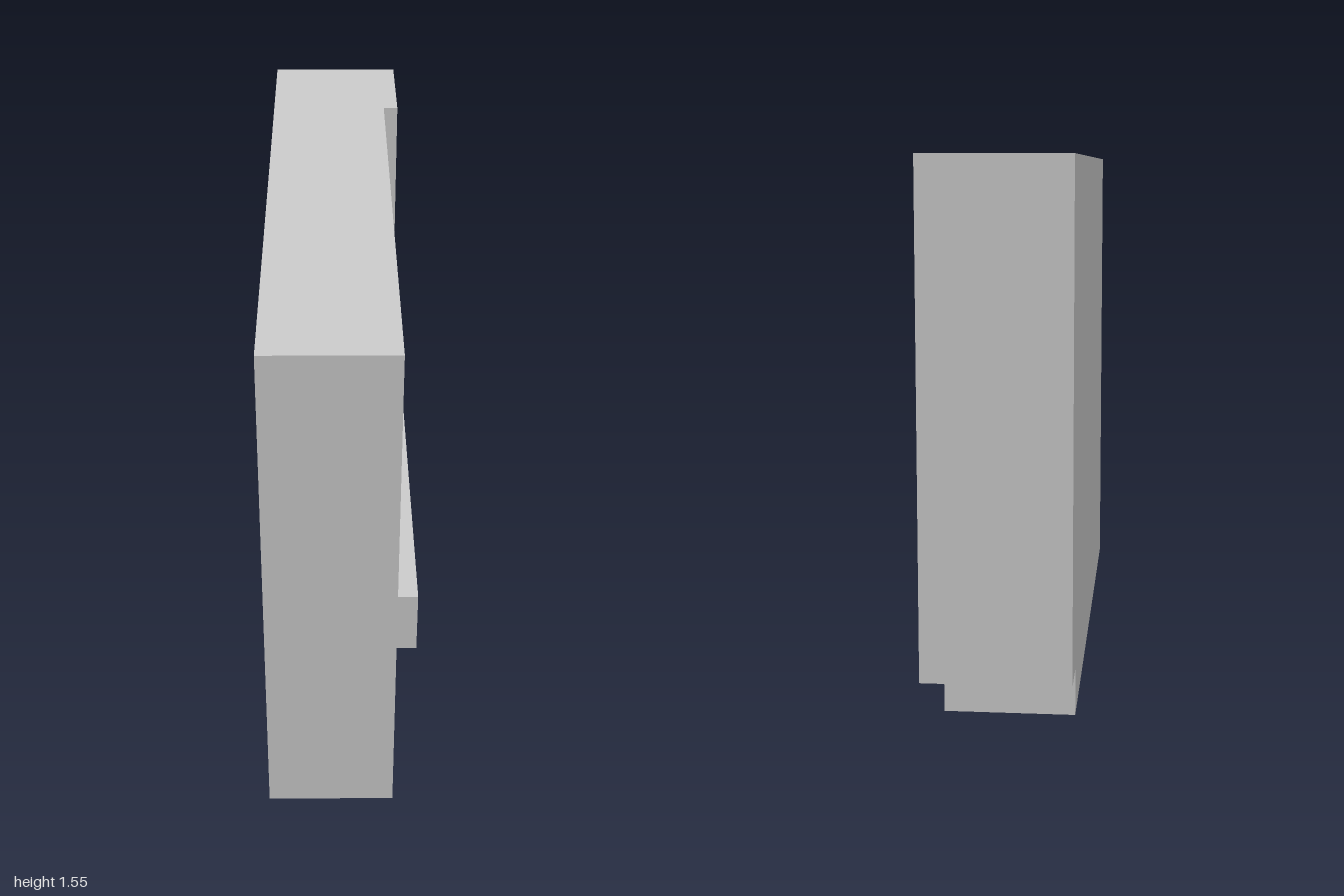
import * as THREE from 'three';

const material = new THREE.MeshStandardMaterial({ color: 0xcccccc, flatShading: true });

// Box given by its lower and upper corners
function block(name, [x0, y0, z0], [x1, y1, z1]) {
  const geometry = new THREE.BoxGeometry(x1 - x0, y1 - y0, z1 - z0);
  geometry.translate((x0 + x1) / 2, (y0 + y1) / 2, (z0 + z1) / 2);
  const mesh = new THREE.Mesh(geometry, material);
  mesh.name = name;
  return mesh;
}

export function createModel() {
  const group = new THREE.Group();
  group.name = 'wallPanel';
  group.add(
    // Main slab
    block('slab', [-0.212, 0, -0.845], [0.157, 1.55, 1]),
    // Thicker pillar at the back end, raised off the ground
    block('pillar', [-0.212, 0.135, -1], [0.203, 1.55, -0.627]),
    // Horizontal rail crossing the slab and part of the pillar
    block('rail', [-0.212, 0.6, -0.81], [0.212, 0.785, 1]),
  );
  return group;
}
